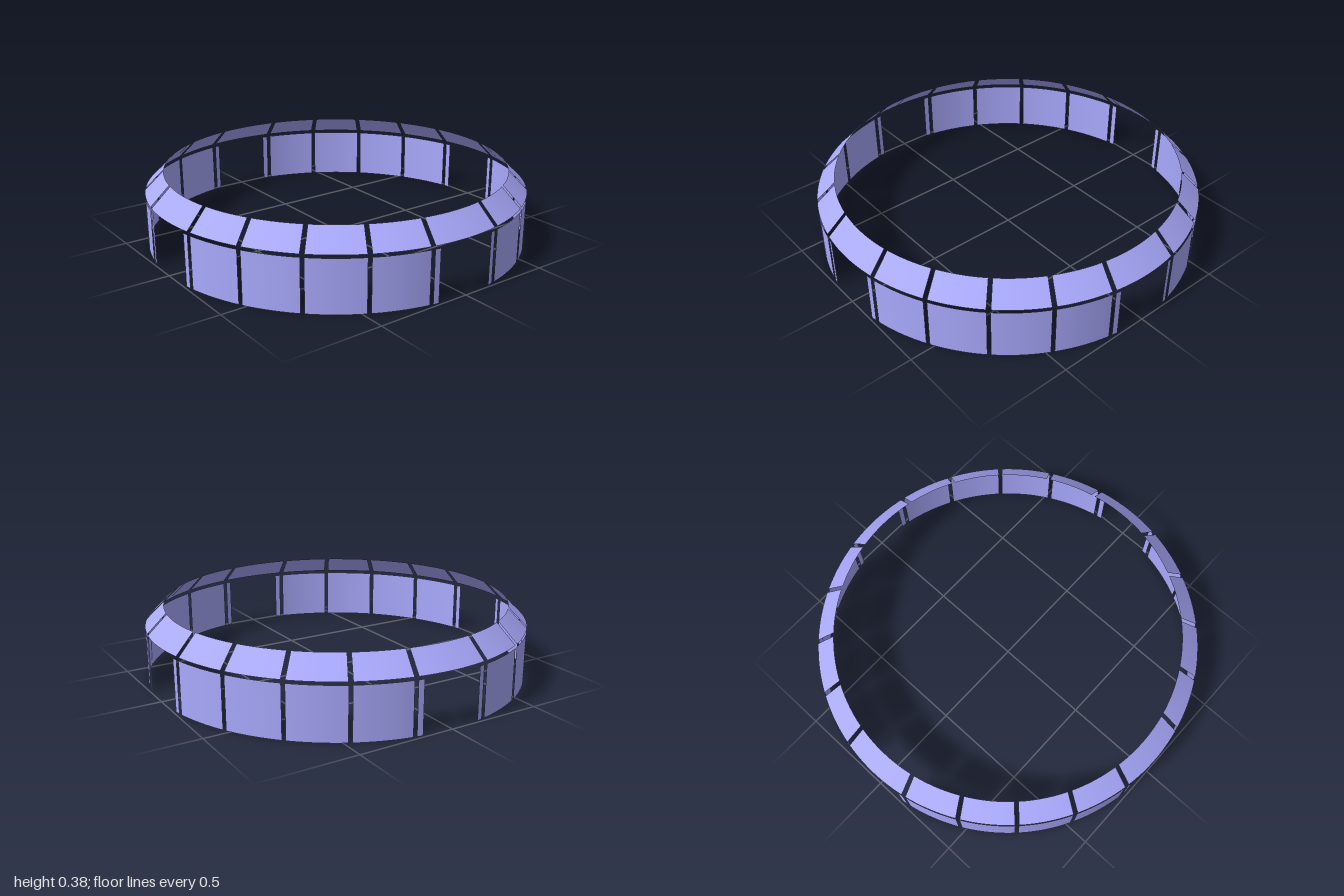
import * as THREE from 'three';

const DEG = Math.PI / 180;
const material = new THREE.MeshStandardMaterial({ color: 0xaaaaff, side: THREE.DoubleSide });

// Thin curved panel swept about y from angle a to b (degrees, 0 = front)
function panel(name, a, b, bottom, top) {
  const points = [new THREE.Vector2(...bottom), new THREE.Vector2(...top)];
  const segments = Math.max(2, Math.ceil((b - a) / 1.5));
  const mesh = new THREE.Mesh(new THREE.LatheGeometry(points, segments, a * DEG, (b - a) * DEG), material);
  mesh.name = name;
  return mesh;
}

export function createModel() {
  const model = new THREE.Group();
  model.name = 'panelledRing';

  const half = 11.25; // half width of the panel over each opening
  const step = (90 - 2 * half) / 4; // width of the other panels
  const gap = 0.6; // half the joint between panels
  const slope = [[1, 0.285], [0.9, 0.385]];
  const wall = [[1, 0], [1, 0.27]];

  for (let side = 0; side < 4; side++) {
    const quarter = new THREE.Group();
    quarter.name = ['front', 'left', 'back', 'right'][side] + 'Quarter';
    quarter.rotation.y = side * Math.PI / 2;

    // Wide sloped panel bridging the opening
    quarter.add(panel('wideSlopePanel', -half + gap, half - gap, ...slope));

    // Narrow posts on both sides of the opening
    quarter.add(panel('openingPost', -half + gap - 0.1, -9, ...wall));
    quarter.add(panel('openingPost', 9, half - gap + 0.1, ...wall));

    // Regular wall panels with sloped panels above
    for (let i = 0; i < 4; i++) {
      const a = half + i * step + gap;
      const b = half + (i + 1) * step - gap;
      quarter.add(panel('slopePanel', a, b, ...slope));
      quarter.add(panel('wallPanel', a - 0.1, b + 0.1, ...wall));
    }
    model.add(quarter);
  }
  return model;
}
